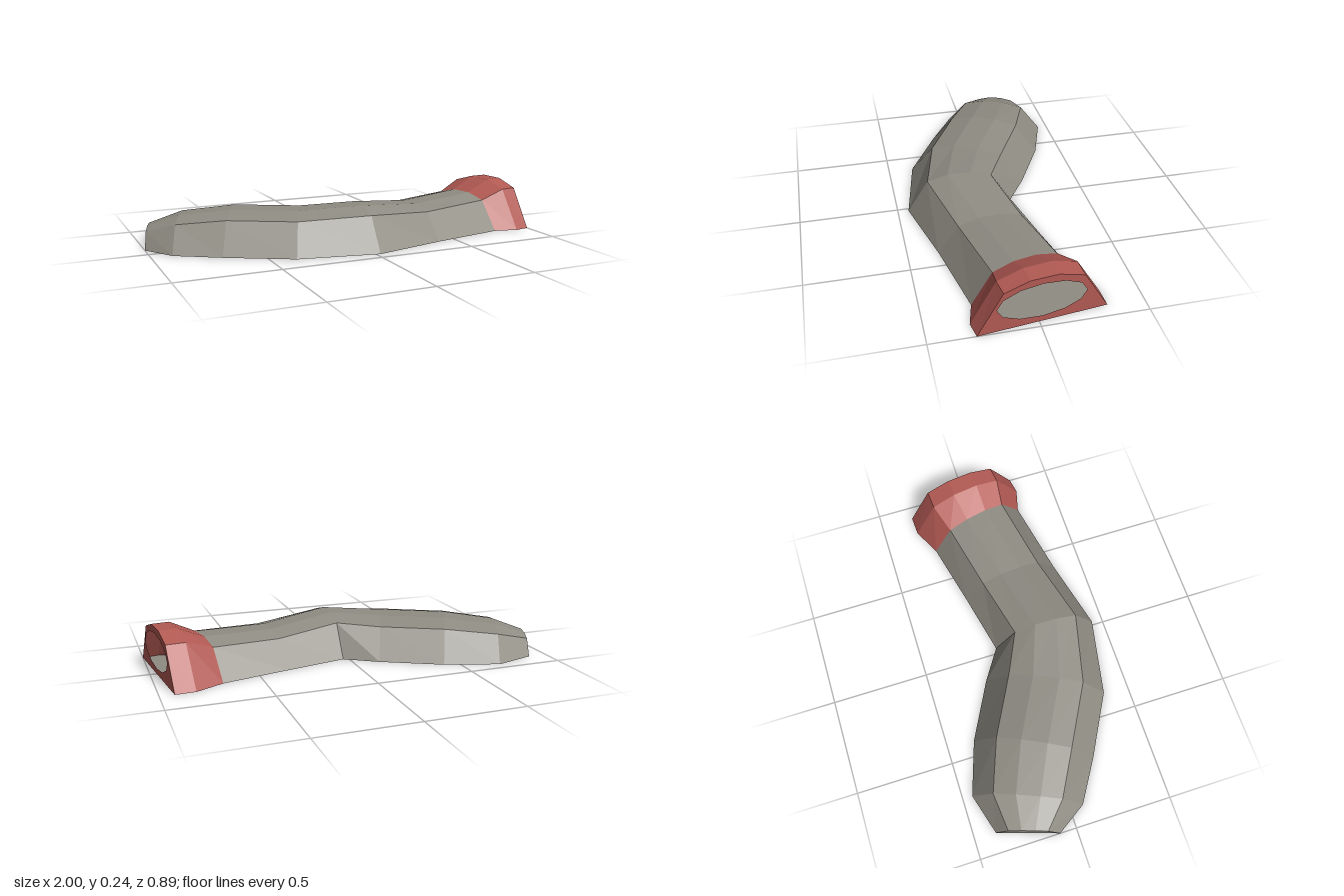
import * as THREE from 'three';

// Ground cross-sections along the bend: back x, back z, front x, front z, crown height
const SECTIONS = [
  [-0.90, -0.39, -1.00, -0.085, 0.095],
  [-0.69, -0.45, -0.90, 0.07, 0.15],
  [-0.42, -0.36, -0.69, 0.20, 0.18],
  [-0.13, -0.205, -0.38, 0.37, 0.18],
  [0.03, -0.10, 0.02, 0.445, 0.198],
  [0.35, -0.17, 0.40, 0.35, 0.162],
  [0.69, -0.25, 0.80, 0.27, 0.18],
  [0.83, -0.32, 0.92, 0.30, 0.242],
  [0.93, -0.325, 1.00, 0.285, 0.242],
];
const COLLAR_START = 6;

// Faceted arch: fraction across the section (back to front), fraction of height
const ARCH = [[0, 0], [0.195, 0.845], [0.395, 1], [0.61, 1], [0.805, 0.845], [1, 0]];
const FLOOR = [[1, 0], [0, 0]];

function place([bx, bz, fx, fz], t, y) {
  return [bx + (fx - bx) * t, y, bz + (fz - bz) * t];
}

// Flat-faced skin joining the same profile on successive sections
function loft(sections, profile) {
  const pos = [];
  for (let i = 0; i < sections.length - 1; i++) {
    for (let j = 0; j < profile.length - 1; j++) {
      const at = (s, p) => place(s, p[0], p[1] * s[4]);
      const a = at(sections[i], profile[j]);
      const b = at(sections[i + 1], profile[j]);
      const c = at(sections[i + 1], profile[j + 1]);
      const d = at(sections[i], profile[j + 1]);
      pos.push(...a, ...d, ...c, ...a, ...c, ...b);
    }
  }
  const g = new THREE.BufferGeometry();
  g.setAttribute('position', new THREE.Float32BufferAttribute(pos, 3));
  g.computeVertexNormals();
  return g;
}

// Upright end wall filling one section, with an optional hole
function endWall(section, facesPositiveX, hole) {
  const flip = (t) => (facesPositiveX ? 1 - t : t);
  const shape = new THREE.Shape(ARCH.map(([t, h]) => new THREE.Vector2(flip(t), h * section[4])));
  if (hole) shape.holes.push(hole);
  const g = new THREE.ShapeGeometry(shape);
  const p = g.attributes.position;
  for (let i = 0; i < p.count; i++) {
    p.setXYZ(i, ...place(section, flip(p.getX(i)), p.getY(i)));
  }
  g.computeVertexNormals();
  return g;
}

export function createModel() {
  const group = new THREE.Group();
  group.name = 'bentTunnel';

  const material = (name, color) => {
    const m = new THREE.MeshStandardMaterial({ color, side: THREE.DoubleSide, flatShading: true });
    m.name = name;
    return m;
  };
  const grey = material('warm grey', 0x8f8c83);
  const red = material('dusty red', 0xb35a54);

  const add = (name, geometry, mat) => {
    const mesh = new THREE.Mesh(geometry, mat);
    mesh.name = name;
    group.add(mesh);
  };

  // Hollow tunnel shell, floor and closed end
  add('tunnelShell', loft(SECTIONS.slice(0, COLLAR_START + 1), ARCH), grey);
  add('tunnelFloor', loft(SECTIONS, FLOOR), grey);
  add('closedEnd', endWall(SECTIONS[0], false), grey);

  // Flared collar around the mouth
  add('entranceCollar', loft(SECTIONS.slice(COLLAR_START), ARCH), red);

  // Front wall pierced by a twelve-sided oval opening
  const opening = new THREE.Path();
  const corners = [];
  for (let i = 0; i < 12; i++) {
    const a = (-i / 12) * Math.PI * 2;
    corners.push(new THREE.Vector2(0.487 + 0.341 * Math.cos(a), 0.12 + 0.09 * Math.sin(a)));
  }
  opening.setFromPoints(corners);
  add('entranceWall', endWall(SECTIONS[SECTIONS.length - 1], true, opening), red);

  return group;
}
